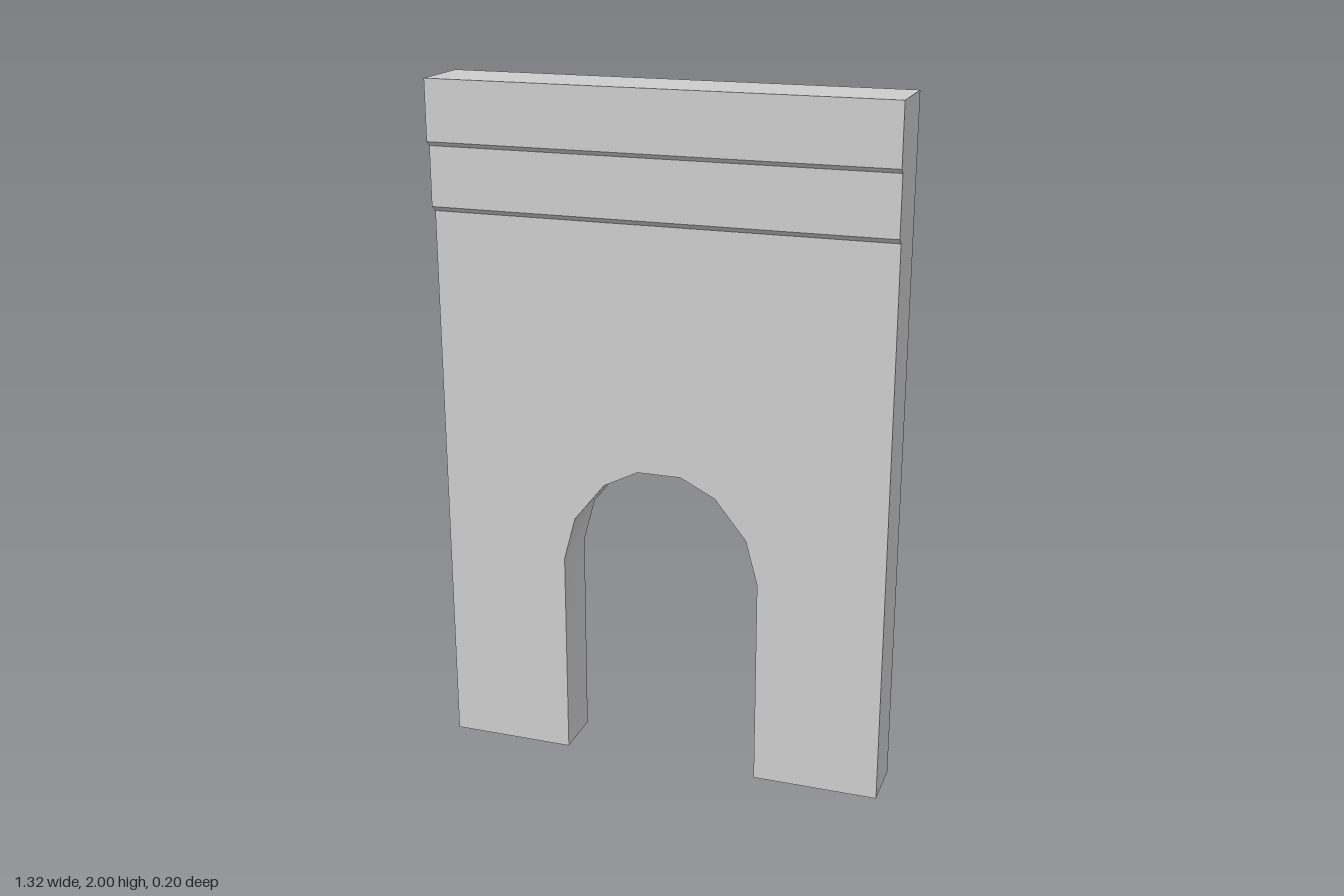
import * as THREE from 'three';
import { toCreasedNormals } from 'three/addons/utils/BufferGeometryUtils.js';

const HALF = 0.66, BACK = -0.1, SEAM = 1.63;
const frontZ = (y) => 0.058 + 0.004 * y; // the front face leans very slightly

// Removes triangles lying entirely at one of the given heights (open ends of the shell).
function openAt(geometry, ...heights) {
  const src = geometry.index ? geometry.toNonIndexed() : geometry;
  const p = src.attributes.position;
  const kept = [];
  for (let i = 0; i < p.count; i += 3) {
    const flat = heights.some((h) => [0, 1, 2].every((k) => Math.abs(p.getY(i + k) - h) < 1e-4));
    if (flat) continue;
    for (let k = 0; k < 3; k++) kept.push(p.getX(i + k), p.getY(i + k), p.getZ(i + k));
  }
  const out = new THREE.BufferGeometry();
  out.setAttribute('position', new THREE.Float32BufferAttribute(kept, 3));
  out.computeVertexNormals();
  return toCreasedNormals(out, 0.6);
}

export function createModel() {
  const group = new THREE.Group();
  group.name = 'archedWall';
  const material = new THREE.MeshStandardMaterial({ color: 0xcccccc, side: THREE.DoubleSide });
  const add = (name, geometry) => {
    const mesh = new THREE.Mesh(geometry, material);
    mesh.name = name;
    group.add(mesh);
  };

  // Wall with a seven-sided arch, hollow and open underneath
  const arch = [[0.293, 0], [0.293, 0.62], [0.258, 0.75], [0.166, 0.865], [0.064, 0.917]];
  const mirrored = arch.map(([x, y]) => [-x, y]).reverse();
  const outline = [[HALF, 0], [HALF, SEAM], [-HALF, SEAM], [-HALF, 0], ...mirrored.reverse(), ...arch.reverse()];
  const wall = new THREE.ExtrudeGeometry(
    new THREE.Shape(outline.map(([x, y]) => new THREE.Vector2(x, y))),
    { depth: 1, bevelEnabled: false }
  );
  const p = wall.attributes.position;
  for (let i = 0; i < p.count; i++) p.setZ(i, p.getZ(i) > 0.5 ? frontZ(p.getY(i)) : BACK);
  add('wall', openAt(wall, 0, SEAM));

  // Two stepped bands across the top, from a side profile of (z, y)
  const profile = [
    [BACK, SEAM], [frontZ(SEAM), SEAM], [0.084, 1.645], [0.084, 1.815],
    [0.099, 1.828], [0.099, 2], [BACK, 2],
  ];
  const cornice = new THREE.ExtrudeGeometry(
    new THREE.Shape(profile.map(([z, y]) => new THREE.Vector2(-z, y))),
    { depth: 2 * HALF, bevelEnabled: false }
  );
  cornice.translate(0, 0, -HALF).rotateY(Math.PI / 2);
  add('cornice', openAt(cornice, SEAM));

  return group;
}
